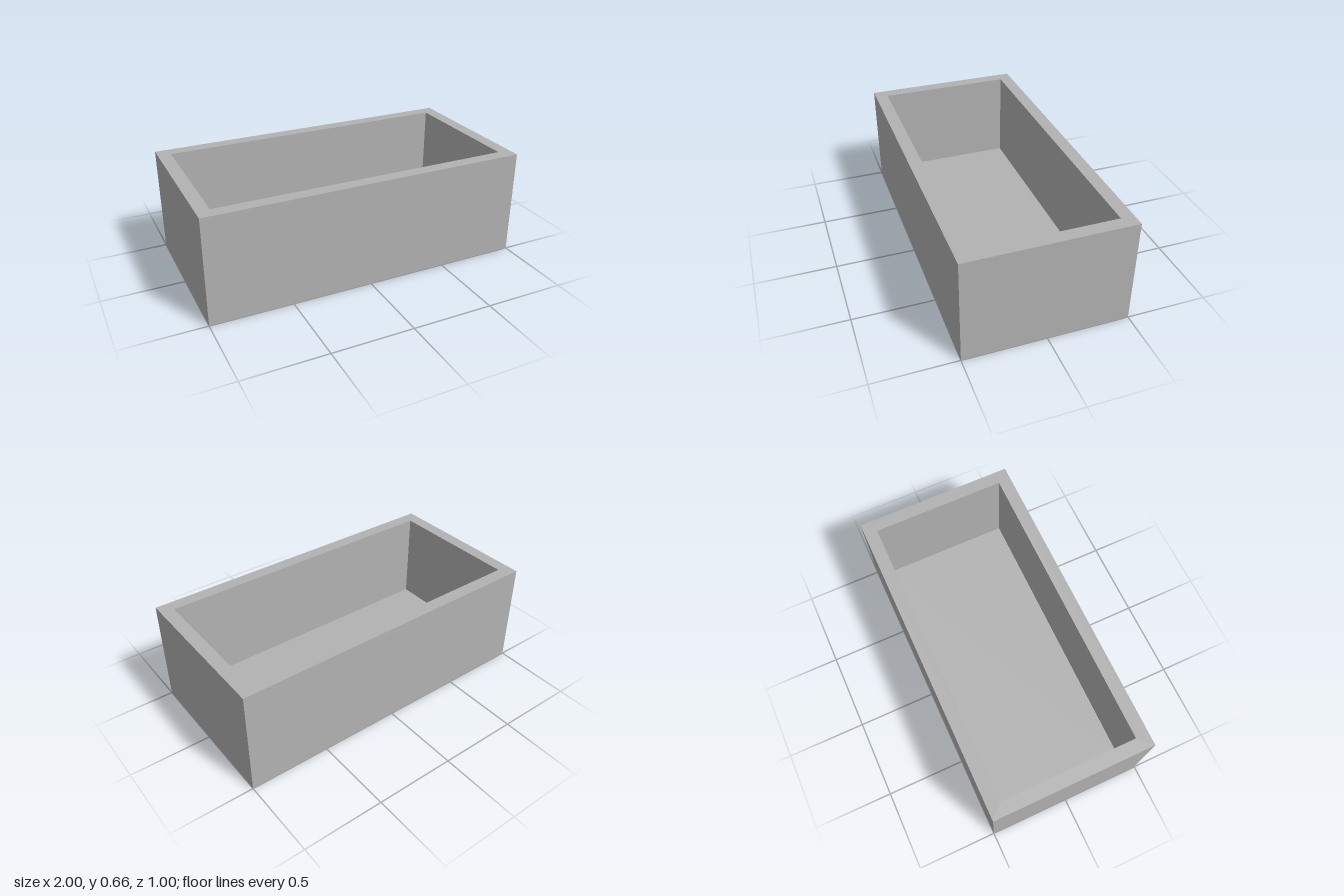
import * as THREE from 'three';

const L = 2, W = 1, H = 0.66;     // outer size
const WALL = 0.08, FLOOR = 0.08;  // thicknesses
const HOLE_R = 0.05, HOLE_DEPTH = 0.04;

// Outline of a rectangle centred on the origin
function rectPoints(w, d) {
  return [[-w, -d], [w, -d], [w, d], [-w, d]].map(([x, y]) => new THREE.Vector2(x / 2, y / 2));
}

// Flat shape extruded upward from y0 to y1
function slab(name, shape, y0, y1, material) {
  const geometry = new THREE.ExtrudeGeometry(shape, { depth: y1 - y0, bevelEnabled: false, curveSegments: 32 });
  geometry.rotateX(-Math.PI / 2).translate(0, y0, 0);
  const mesh = new THREE.Mesh(geometry, material);
  mesh.name = name;
  return mesh;
}

export function createModel() {
  const group = new THREE.Group();
  group.name = 'openBox';
  const grey = new THREE.MeshStandardMaterial({ color: 0xb2b2b2 });
  grey.name = 'grey';

  const innerL = L - 2 * WALL, innerW = W - 2 * WALL;

  // Four walls as one ring
  const ring = new THREE.Shape(rectPoints(L, W));
  ring.holes.push(new THREE.Path(rectPoints(innerL, innerW)));
  group.add(slab('walls', ring, 0, H, grey));

  // Underside with two shallow round recesses near one end
  const underside = new THREE.Shape(rectPoints(innerL, innerW));
  for (const x of [-0.7, -0.5]) {
    underside.holes.push(new THREE.Path().absarc(x, 0, HOLE_R, 0, Math.PI * 2, true));
  }
  group.add(slab('undersideWithRecesses', underside, 0, HOLE_DEPTH, grey));

  // Closed floor above the recesses
  group.add(slab('floor', new THREE.Shape(rectPoints(innerL, innerW)), HOLE_DEPTH, FLOOR, grey));

  return group;
}
